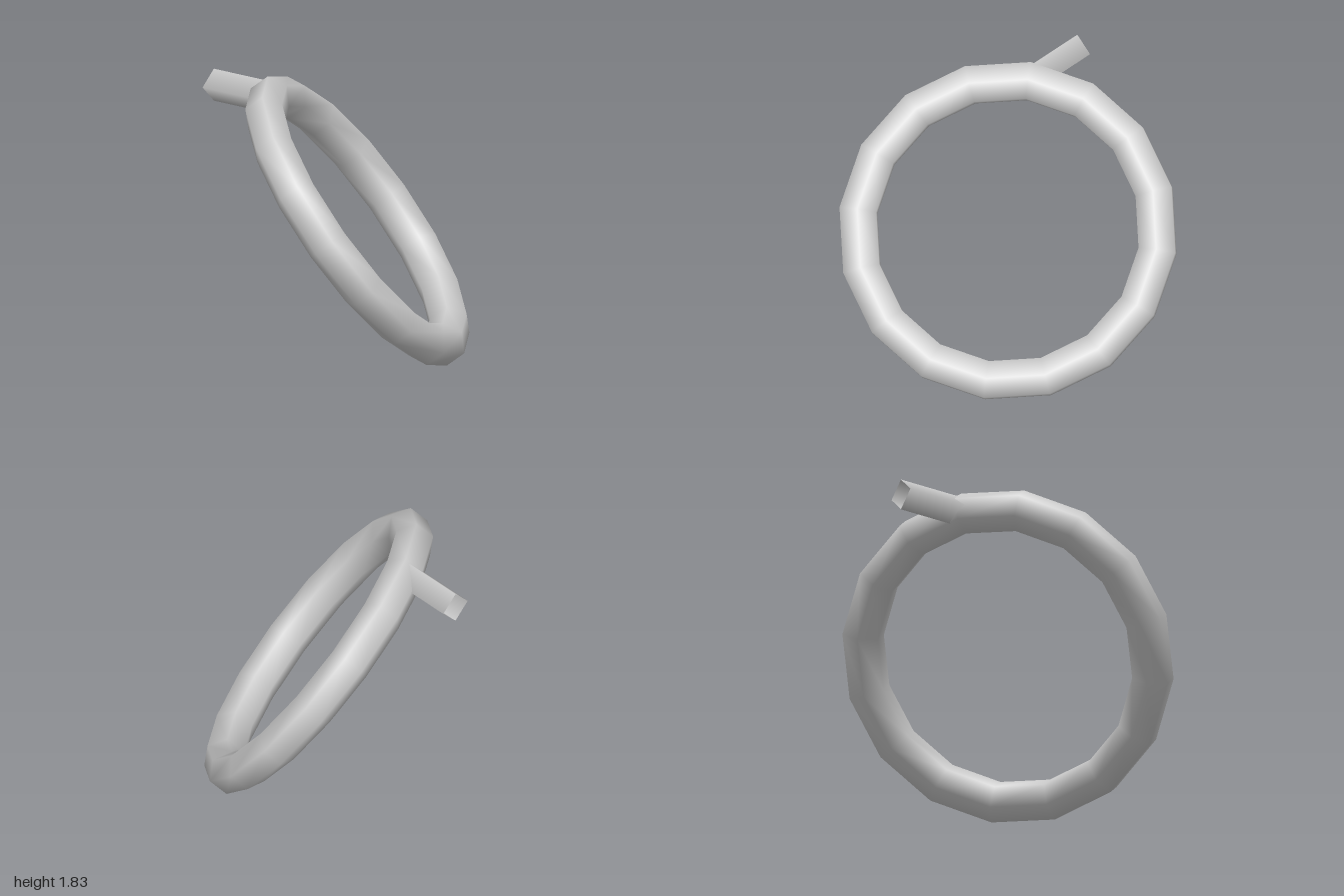
import * as THREE from 'three';

const RING_R = 0.975, TUBE_R = 0.138, SIDES = 6, STEPS = 16;
const CENTRE = new THREE.Vector3(0, 0.915, 0.072);

// Torus with its hexagonal section turned so that flats face outward and inward
function ringGeometry() {
  const geo = new THREE.TorusGeometry(RING_R, TUBE_R, SIDES, STEPS);
  const { position, normal } = geo.attributes;
  for (let j = 0, i = 0; j <= SIDES; j++) {
    const v = ((j + 0.5) / SIDES) * Math.PI * 2;
    for (let k = 0; k <= STEPS; k++, i++) {
      const u = (k / STEPS) * Math.PI * 2;
      const radial = RING_R + TUBE_R * Math.cos(v);
      position.setXYZ(i, radial * Math.cos(u), radial * Math.sin(u), TUBE_R * Math.sin(v));
      normal.setXYZ(i, Math.cos(v) * Math.cos(u), Math.cos(v) * Math.sin(u), Math.sin(v));
    }
  }
  return geo;
}

export function createModel() {
  const model = new THREE.Group();
  model.name = 'tiltedRing';
  const grey = new THREE.MeshStandardMaterial({ color: 0xcccccc, side: THREE.DoubleSide });
  grey.name = 'light grey';

  // Ring, leaning back and to one side
  const axis = new THREE.Vector3(0.46, 0.6, 0.654).normalize();
  const across = new THREE.Vector3(-1, 0.375, 0.27).projectOnPlane(axis).normalize();
  const up = new THREE.Vector3().crossVectors(axis, across);
  const ring = new THREE.Mesh(ringGeometry(), grey);
  ring.name = 'ring';
  ring.quaternion.setFromRotationMatrix(new THREE.Matrix4().makeBasis(across, up, axis));
  ring.position.copy(CENTRE);
  model.add(ring);

  // Open four-sided stem running straight back from the ring's centre line
  const front = -0.46, back = -0.95;
  const stem = new THREE.Mesh(
    new THREE.CylinderGeometry(0.106, 0.106, front - back, 4, 1, true).rotateX(Math.PI / 2), grey);
  stem.name = 'stem';
  stem.position.set(-0.265, 1.695, (front + back) / 2);
  model.add(stem);

  return model;
}
